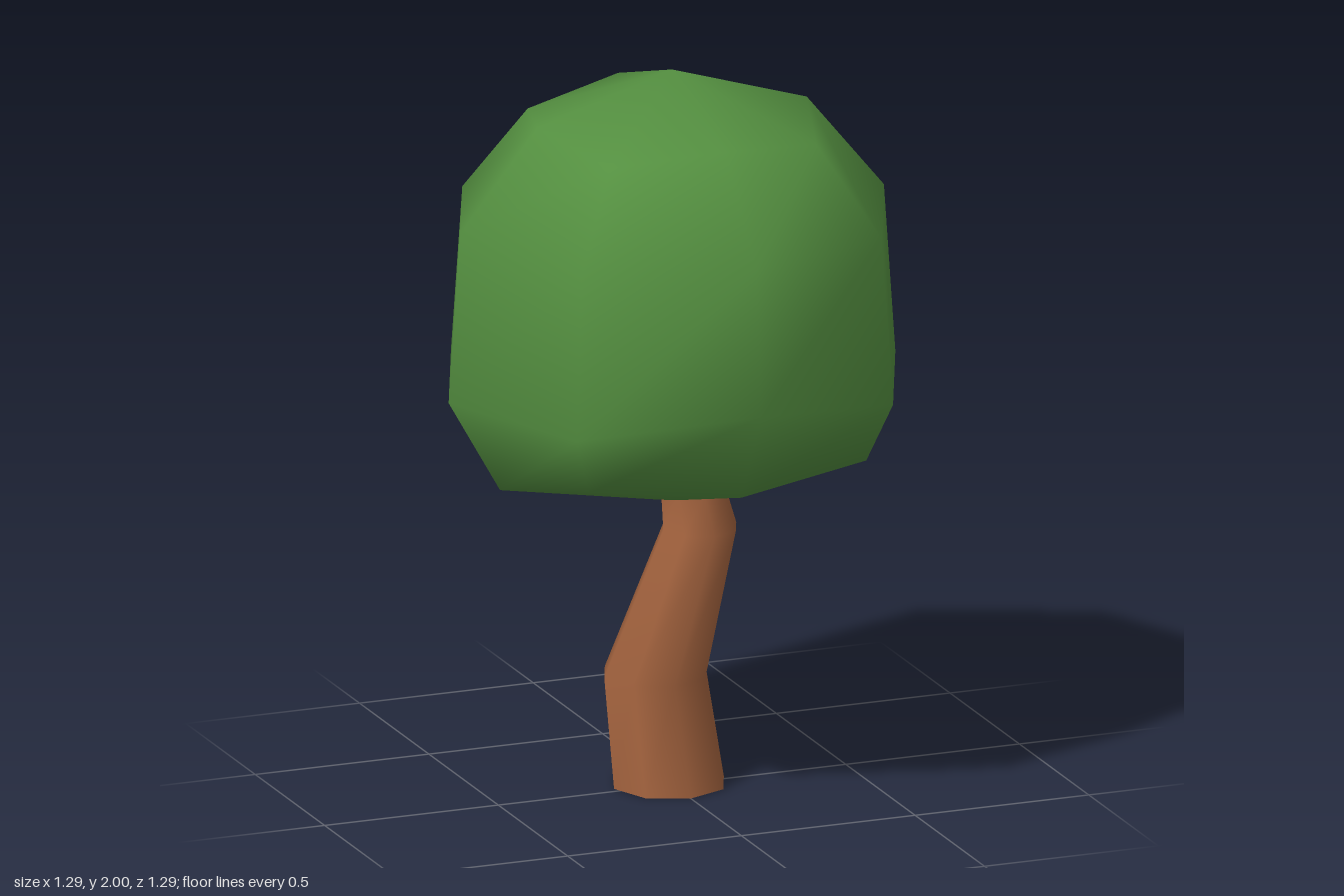
import * as THREE from 'three';

const SIDES = 8;

// Smooth skin over stacked eight-sided rings; each end is a point or left for a cap.
function loft(rings, bottom, top) {
  const pos = [];
  const index = [];
  rings.forEach((ring) => ring.forEach((p) => pos.push(...p)));
  for (let i = 0; i < rings.length - 1; i++) {
    for (let j = 0; j < SIDES; j++) {
      const k = (j + 1) % SIDES;
      const a = i * SIDES + j, b = i * SIDES + k;
      index.push(a, b, b + SIDES, a, b + SIDES, a + SIDES);
    }
  }
  const addPole = (p, start, up) => {
    const pole = pos.length / 3;
    pos.push(...p);
    for (let j = 0; j < SIDES; j++) {
      const a = start + j, b = start + (j + 1) % SIDES;
      if (up) index.push(a, b, pole);
      else index.push(b, a, pole);
    }
  };
  if (bottom) addPole(bottom, 0, false);
  if (top) addPole(top, (rings.length - 1) * SIDES, true);
  const geo = new THREE.BufferGeometry();
  geo.setAttribute('position', new THREE.Float32BufferAttribute(pos, 3));
  geo.setIndex(index);
  geo.computeVertexNormals();
  return geo;
}

// Ring of points; radius and height are picked per corner.
function ring(cx, cz, pick) {
  return Array.from({ length: SIDES }, (_, j) => {
    const [r, y] = pick(j);
    const t = (j / SIDES) * Math.PI * 2;
    return [cx + r * Math.cos(t), y, cz - r * Math.sin(t)];
  });
}

export function createModel() {
  const leafGreen = new THREE.MeshStandardMaterial({ name: 'leafGreen', color: 0x548f40 });
  const barkBrown = new THREE.MeshStandardMaterial({ name: 'barkBrown', color: 0xa5643f });
  const tree = new THREE.Group();
  tree.name = 'tree';

  // Crown: [radius, height] at the x sides, z sides and diagonals of each ring
  const levels = [
    { x: [0.495, 0.88], z: [0.5, 0.945], d: [0.565, 0.975] },
    { x: [0.643, 1.14], z: [0.643, 1.21], d: [0.643, 1.14] },
    { x: [0.61, 1.61], z: [0.61, 1.61], d: [0.61, 1.6] },
    { x: [0.388, 1.88], z: [0.388, 1.88], d: [0.42, 1.84] },
  ];
  const crownRings = levels.map((l) =>
    ring(0, 0, (j) => (j % 2 ? l.d : j % 4 ? l.z : l.x)));
  const crown = new THREE.Mesh(loft(crownRings, [0, 0.795, 0], [0, 2, 0]), leafGreen);
  crown.name = 'crown';
  tree.add(crown);

  // Crooked trunk: [centre x, height, centre z, radius]
  const trunkRings = [
    [0, 0, -0.022, 0.158],
    [-0.025, 0.3, -0.06, 0.146],
    [0.072, 0.72, 0.02, 0.105],
    [0.052, 0.84, 0.015, 0.09],
    [0.045, 0.92, 0.012, 0.08],
  ].map(([x, y, z, r]) => ring(x, z, () => [r, y]));
  const trunk = new THREE.Mesh(loft(trunkRings, null, [0.045, 0.93, 0.012]), barkBrown);
  trunk.name = 'trunk';
  tree.add(trunk);

  // Flat underside of the trunk
  const base = new THREE.Mesh(new THREE.CircleGeometry(0.158, SIDES), barkBrown);
  base.name = 'trunkBase';
  base.rotation.x = Math.PI / 2;
  base.position.z = -0.022;
  tree.add(base);

  return tree;
}
